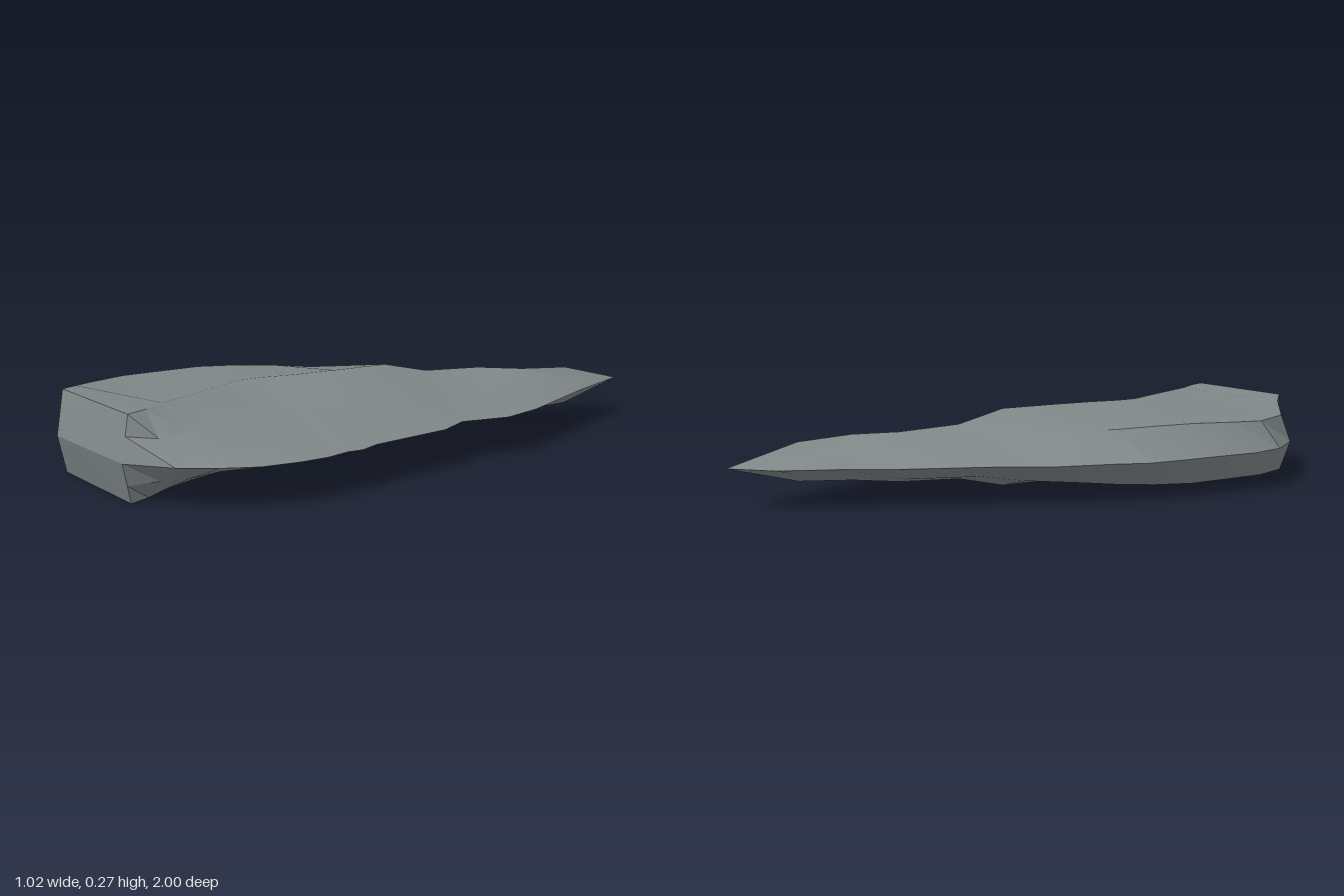
import * as THREE from 'three';
import { toCreasedNormals } from 'three/addons/utils/BufferGeometryUtils.js';

const MID = 0.137; // height of the sharp rim

// Each line runs from the blunt butt to the last station before the point.
// Rims: [x, z]; bevel and ridge: [x, z, y].
const leftRim = [[-.2, 1], [-.28, .96], [-.43, .81], [-.5, .68], [-.51, .55], [-.48, .4], [-.46, .28],
  [-.43, .14], [-.37, .03], [-.29, -.15], [-.19, -.28], [-.02, -.57], [.09, -.72], [.19, -.89]];
const bevel = [[-.24, .955, .273], [-.3, .88, .262], [-.42, .77, .235], [-.455, .63, .232], [-.43, .52, .235],
  [-.39, .37, .24], [-.34, .24, .237], [-.28, .12, .23], [-.2, .02, .225], [-.1, -.12, .218],
  [-.02, -.25, .2], [.07, -.48, .195], [.16, -.62, .18], [.23, -.8, .165]];
const ridge = [[.17, .95, .273], [.15, .88, .273], [.11, .8, .273], [.08, .7, .273], [.04, .57, .273],
  [0, .45, .273], [.01, .37, .273], [.04, .27, .273], [.07, .12, .273], [.1, -.07, .273],
  [.12, -.24, .232], [.16, -.45, .222], [.25, -.58, .215], [.29, -.76, .203]];
const rightRim = [[.2, .99], [.33, .89], [.41, .79], [.47, .69], [.5, .57], [.51, .48], [.5, .4],
  [.51, .35], [.49, .28], [.49, 0], [.45, -.11], [.5, -.27], [.48, -.42], [.38, -.75]];

// Closed cross-section: left rim, over the top, right rim, back underneath
function section(i) {
  const point = ([x, z, y = MID]) => new THREE.Vector3(x, y, z);
  const [l, b, c, r] = [leftRim, bevel, ridge, rightRim].map((line) => point(line[i]));
  const flute = c.clone().lerp(r, 0.45); // shallow hollows on the right flank
  if (i > 0) flute.y -= 0.004 + 0.006 * (i % 2);
  const under = [flute, c, b].map((p) => new THREE.Vector3(p.x, 2 * MID - p.y, p.z));
  return [l, b, c, flute, r, ...under];
}

function bladeGeometry() {
  const rings = leftRim.map((_, i) => section(i));
  const n = rings[0].length;
  const tip = new THREE.Vector3(.32, MID, -1);
  const tris = [];
  // Butt
  for (let j = 1; j < n - 1; j++) tris.push(rings[0][0], rings[0][j + 1], rings[0][j]);
  // Flanks
  for (let i = 0; i < rings.length - 1; i++) {
    for (let j = 0; j < n; j++) {
      const k = (j + 1) % n;
      const [a, b, c, d] = [rings[i][j], rings[i][k], rings[i + 1][k], rings[i + 1][j]];
      tris.push(a, b, c, a, c, d);
    }
  }
  // Point
  const last = rings[rings.length - 1];
  for (let j = 0; j < n; j++) tris.push(last[j], last[(j + 1) % n], tip);
  return toCreasedNormals(new THREE.BufferGeometry().setFromPoints(tris), 0.3);
}

export function createModel() {
  const group = new THREE.Group();
  group.name = 'stoneBlade';
  const blade = new THREE.Mesh(bladeGeometry(), new THREE.MeshStandardMaterial({ color: 0x7f8686 }));
  blade.name = 'flakedBlade';
  group.add(blade);
  return group;
}
